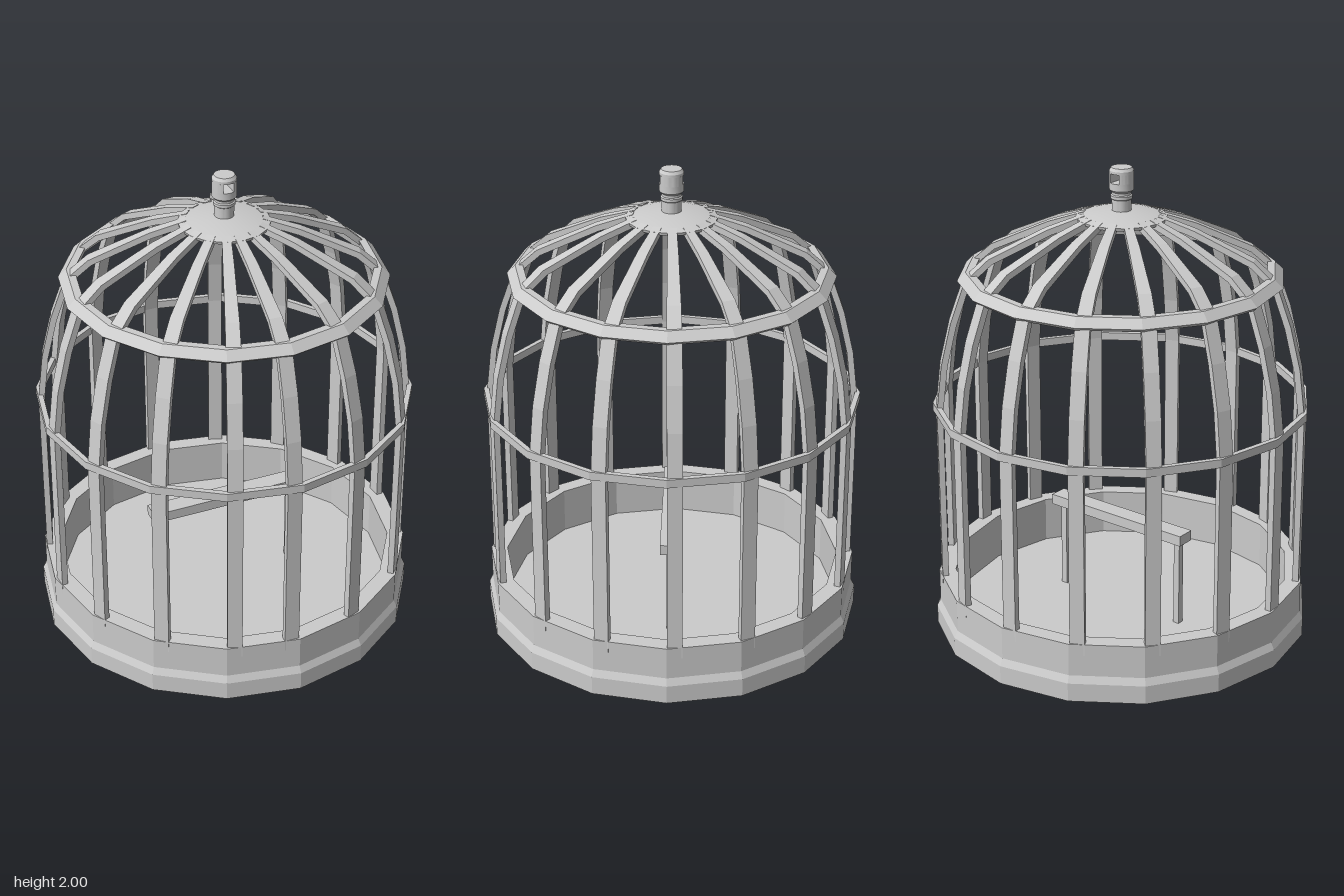
import * as THREE from 'three';
import { toCreasedNormals } from 'three/addons/utils/BufferGeometryUtils.js';

const SIDES = 16;
const flat = new THREE.MeshStandardMaterial({ color: 0xcccccc, flatShading: true });
const smooth = new THREE.MeshStandardMaterial({ color: 0xcccccc });

function add(parent, name, geometry, material = flat) {
  const mesh = new THREE.Mesh(geometry, material);
  mesh.name = name;
  parent.add(mesh);
  return mesh;
}

// Profile points are [radius, height], running up the outside and down the inside
function lathe(points, sides = SIDES) {
  return new THREE.LatheGeometry(points.map(([r, y]) => new THREE.Vector2(r, y)), sides);
}

function smoothLathe(points, sides) {
  return toCreasedNormals(lathe(points, sides), 0.5);
}

// Flat strip swept along [radius, height, width] stations in the xy plane
function barGeometry(stations, thickness) {
  const positions = [], index = [];
  const last = stations.length - 1;
  stations.forEach(([r, y, w], i) => {
    const a = stations[Math.max(i - 1, 0)], b = stations[Math.min(i + 1, last)];
    const out = new THREE.Vector2(b[1] - a[1], a[0] - b[0]).normalize().multiplyScalar(thickness / 2);
    for (const [s, z] of [[1, -1], [1, 1], [-1, 1], [-1, -1]]) {
      positions.push(r + s * out.x, y + s * out.y, z * w / 2);
    }
    if (i === last) return;
    for (let k = 0; k < 4; k++) {
      const p = i * 4 + k, q = i * 4 + (k + 1) % 4;
      index.push(q, p, p + 4, q, p + 4, q + 4);
    }
  });
  const e = last * 4;
  index.push(0, 1, 2, 0, 2, 3, e, e + 2, e + 1, e, e + 3, e + 2);
  const geometry = new THREE.BufferGeometry();
  geometry.setAttribute('position', new THREE.Float32BufferAttribute(positions, 3));
  geometry.setIndex(index);
  geometry.computeVertexNormals();
  return geometry;
}

export function createModel() {
  const cage = new THREE.Group();
  cage.name = 'birdcage';

  // Tray with a stepped foot and sunken floor
  add(cage, 'baseTray', lathe([
    [0, 0], [0.8, 0], [0.8, 0.08], [0.785, 0.11], [0.785, 0.25],
    [0.715, 0.25], [0.715, 0.05], [0, 0.05],
  ]));

  // Upright bars that bend over into the dome; two at the front sit slightly off the even spacing
  const bar = barGeometry([
    [0.762, 0.2, 0.062], [0.762, 1.0, 0.062], [0.738, 1.2, 0.062], [0.695, 1.38, 0.062],
    [0.635, 1.55, 0.06], [0.54, 1.635, 0.056], [0.42, 1.69, 0.05], [0.3, 1.745, 0.045], [0.15, 1.795, 0.036],
  ], 0.026);
  const bars = new THREE.Group();
  bars.name = 'bars';
  cage.add(bars);
  for (let i = 0; i < SIDES; i++) {
    let degrees = 2.4 + i * 360 / SIDES;
    if (i === 12) degrees = 267.6;
    if (i === 13) degrees = 290.5;
    add(bars, 'bar', bar).rotation.y = THREE.MathUtils.degToRad(degrees);
  }

  // Hoops around the bars
  add(cage, 'middleHoop', lathe([
    [0.765, 0.985], [0.787, 0.985], [0.787, 1.02], [0.765, 1.02], [0.765, 0.985],
  ]));
  add(cage, 'upperHoop', lathe([
    [0.62, 1.53], [0.655, 1.53], [0.672, 1.545], [0.637, 1.58], [0.605, 1.58], [0.62, 1.53],
  ]));

  // Cap disc where the bars meet
  add(cage, 'capDisc', smoothLathe([
    [0, 1.785], [0.185, 1.785], [0.188, 1.797], [0.13, 1.812], [0.04, 1.822], [0, 1.822],
  ], SIDES), smooth);

  // Finial: ringed neck, then a head pierced from front to back
  const finial = new THREE.Group();
  finial.name = 'finial';
  cage.add(finial);
  const headRadius = 0.05, holeHalf = 0.022, holeBottom = 1.938, holeTop = 1.977;
  add(finial, 'neck', smoothLathe([
    [0, 1.81], [0.04, 1.81], [0.04, 1.868], [0.045, 1.872], [0.045, 1.884], [0.04, 1.888],
    [0.04, 1.898], [headRadius, 1.908], [headRadius, holeBottom], [0, holeBottom],
  ], 24), smooth);
  add(finial, 'headTop', smoothLathe([
    [0, holeTop], [headRadius, holeTop], [headRadius, 1.988], [0.042, 2], [0, 2],
  ], 24), smooth);
  const half = Math.acos(holeHalf / headRadius);
  const cheek = new THREE.Shape().absarc(0, 0, headRadius, -half, half, false);
  const cheekGeometry = toCreasedNormals(new THREE.ExtrudeGeometry(cheek, {
    depth: holeTop - holeBottom, bevelEnabled: false, curveSegments: 8,
  }).rotateX(-Math.PI / 2), 0.5);
  for (const turn of [0, Math.PI]) {
    const mesh = add(finial, 'headCheek', cheekGeometry, smooth);
    mesh.position.y = holeBottom;
    mesh.rotation.y = turn;
  }

  // Perch rail on two legs
  const perch = new THREE.Group();
  perch.name = 'perch';
  cage.add(perch);
  add(perch, 'perchRail', new THREE.BoxGeometry(0.695, 0.045, 0.08)).position.set(0.007, 0.453, 0);
  for (const side of [-1, 1]) {
    add(perch, 'perchLeg', new THREE.BoxGeometry(0.028, 0.39, 0.028))
      .position.set(0.003 + side * 0.308, 0.24, 0);
  }

  return cage;
}
